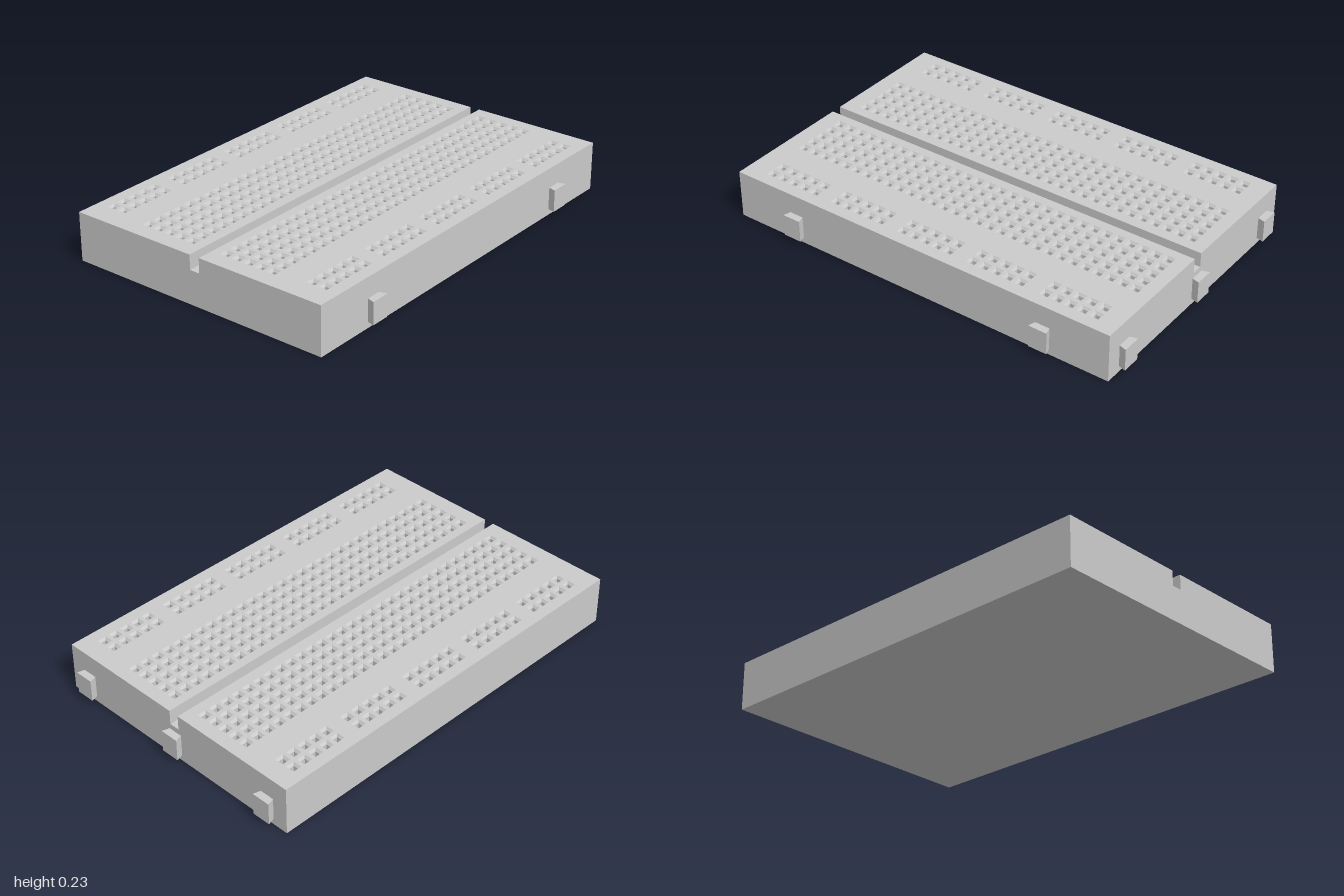
import * as THREE from 'three';
import { mergeGeometries } from 'three/addons/utils/BufferGeometryUtils.js';

const LEFT = -0.675, RIGHT = 0.64, BACK = -0.965, FRONT = 1;
const TOP = 0.23, GROOVE_FLOOR = 0.16, GROOVE = [-0.042, 0.008];
const PITCH = 0.0613, HOLE = 0.042, SHAFT = 0.024;

const material = new THREE.MeshStandardMaterial({ color: 0xcccccc, flatShading: true });

function add(parent, name, geometry) {
  const mesh = new THREE.Mesh(geometry, material);
  mesh.name = name;
  parent.add(mesh);
  return mesh;
}

// Grooved block extruded front to back, with its two top faces left open for the plates
function bodyShell() {
  const [g0, g1] = GROOVE;
  const profile = new THREE.Shape([
    [LEFT, 0], [RIGHT, 0], [RIGHT, TOP], [g1, TOP],
    [g1, GROOVE_FLOOR], [g0, GROOVE_FLOOR], [g0, TOP], [LEFT, TOP],
  ].map(([x, y]) => new THREE.Vector2(x, y)));
  const block = new THREE.ExtrudeGeometry(profile, { depth: FRONT - BACK, bevelEnabled: false });
  block.translate(0, 0, BACK);
  const p = block.attributes.position;
  const kept = [];
  for (let i = 0; i < p.count; i += 3) {
    const onTop = [0, 1, 2].every(k => Math.abs(p.getY(i + k) - TOP) < 1e-5);
    if (!onTop) kept.push(...p.array.slice(i * 3, i * 3 + 9));
  }
  const shell = new THREE.BufferGeometry();
  shell.setAttribute('position', new THREE.Float32BufferAttribute(kept, 3));
  shell.computeVertexNormals();
  return shell;
}

// Contact positions: a block of 5 x 30 and a rail of 2 x 25 in groups of five
function terminalHoles(x0) {
  const list = [];
  for (let c = 0; c < 5; c++)
    for (let r = 0; r < 30; r++) list.push([x0 + c * PITCH, -0.879 + r * PITCH]);
  return list;
}

function railHoles(x0) {
  const list = [];
  for (let c = 0; c < 2; c++)
    for (let r = 0; r < 25; r++)
      list.push([x0 + c * PITCH, -0.848 + (r + Math.floor(r / 5)) * PITCH]);
  return list;
}

// Flat top surface pierced by square openings
function topPlate(x0, x1, holes) {
  const rect = (Type, a, b, c, d) => new Type([
    new THREE.Vector2(a, c), new THREE.Vector2(b, c),
    new THREE.Vector2(b, d), new THREE.Vector2(a, d),
  ]);
  const shape = rect(THREE.Shape, x0, x1, -FRONT, -BACK);
  const h = HOLE / 2;
  for (const [x, z] of holes)
    shape.holes.push(rect(THREE.Path, x - h, x + h, -z - h, -z + h));
  return new THREE.ShapeGeometry(shape).rotateX(-Math.PI / 2).translate(0, TOP, 0);
}

// Square sockets: a bevelled mouth, a straight shaft and a floor
function sockets(holes) {
  const outer = HOLE / Math.SQRT2, inner = SHAFT / Math.SQRT2;
  const socket = new THREE.LatheGeometry([
    new THREE.Vector2(outer, 0), new THREE.Vector2(inner, -0.012),
    new THREE.Vector2(inner, -0.05), new THREE.Vector2(0, -0.05),
  ], 4).rotateY(Math.PI / 4).toNonIndexed();
  socket.computeVertexNormals();
  return mergeGeometries(holes.map(([x, z]) => socket.clone().translate(x, TOP, z)));
}

// Dovetail tab, wider at its outer end, pointing to the back
function tabGeometry() {
  const shape = new THREE.Shape([
    new THREE.Vector2(-0.035, 0), new THREE.Vector2(0.035, 0),
    new THREE.Vector2(0.045, 0.035), new THREE.Vector2(-0.045, 0.035),
  ]);
  return new THREE.ExtrudeGeometry(shape, { depth: 0.105, bevelEnabled: false })
    .rotateX(-Math.PI / 2);
}

export function createModel() {
  const model = new THREE.Group();
  model.name = 'breadboard';
  add(model, 'body', bodyShell());

  // Two halves, one on each side of the centre groove
  const halves = [
    { name: 'rightHalf', x0: LEFT, x1: GROOVE[0], rail: -0.598, block: -0.36 },
    { name: 'leftHalf', x0: GROOVE[1], x1: RIGHT, rail: 0.498, block: 0.073 },
  ];
  for (const { name, x0, x1, rail, block } of halves) {
    const half = new THREE.Group();
    half.name = name;
    const rails = railHoles(rail), terminals = terminalHoles(block);
    add(half, 'topPlate', topPlate(x0, x1, [...rails, ...terminals]));
    add(half, 'railSockets', sockets(rails));
    add(half, 'terminalSockets', sockets(terminals));
    model.add(half);
  }

  // Joining tabs along the back and one side
  const tab = tabGeometry();
  for (const x of [-0.565, -0.02, 0.529])
    add(model, 'backTab', tab).position.set(x, 0.029, BACK);
  for (const z of [-0.643, 0.671]) {
    const side = add(model, 'sideTab', tab);
    side.position.set(RIGHT, 0.029, z);
    side.rotation.y = -Math.PI / 2;
  }
  return model;
}
